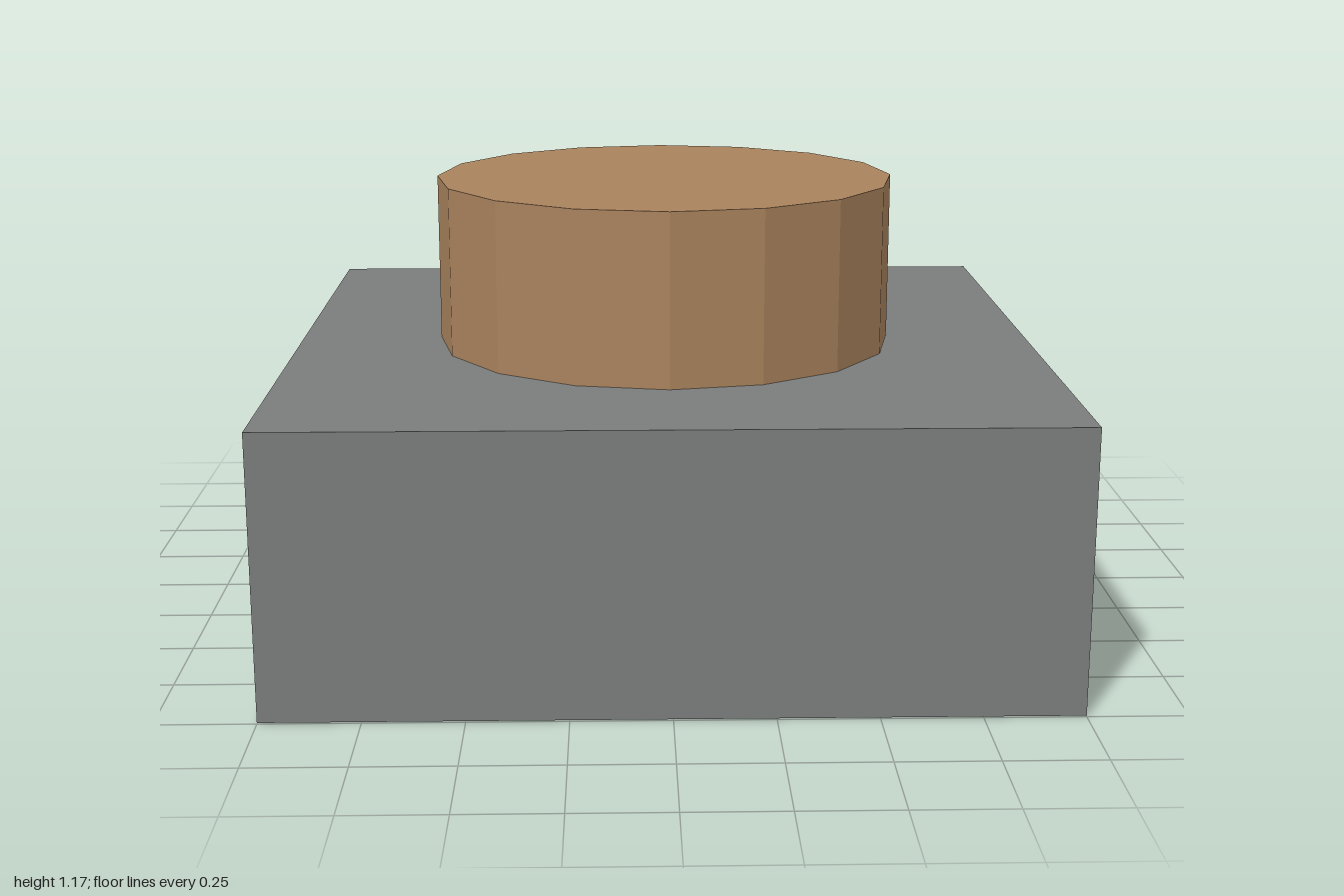
import * as THREE from 'three';

const stone = new THREE.MeshStandardMaterial({ color: 0x7a7d7c });
stone.name = 'stone grey';
const wood = new THREE.MeshStandardMaterial({ color: 0xa8825d, flatShading: true });
wood.name = 'wood brown';
const metal = new THREE.MeshStandardMaterial({ color: 0xb0b2b3 });
metal.name = 'light grey';

function part(name, geometry, material, x, y, z) {
  const mesh = new THREE.Mesh(geometry, material);
  mesh.name = name;
  mesh.position.set(x, y, z);
  return mesh;
}

export function createModel() {
  const model = new THREE.Group();
  model.name = 'blockWithKnob';

  // square block
  const bottom = 0.003, top = 0.725;
  model.add(part('base', new THREE.BoxGeometry(2, top - bottom, 2), stone, 0, (top + bottom) / 2, 0));

  // sixteen-sided knob
  model.add(part('knob', new THREE.CylinderGeometry(0.62, 0.62, 0.45, 16), wood, 0, 0.95, 0));

  // thin runners, flush under the front and back edges
  for (const [name, side] of [['frontRunner', 1], ['backRunner', -1]]) {
    model.add(part(name, new THREE.BoxGeometry(1.66, 0.006, 0.18), metal, 0, 0.003, side * 0.73));
  }
  return model;
}
